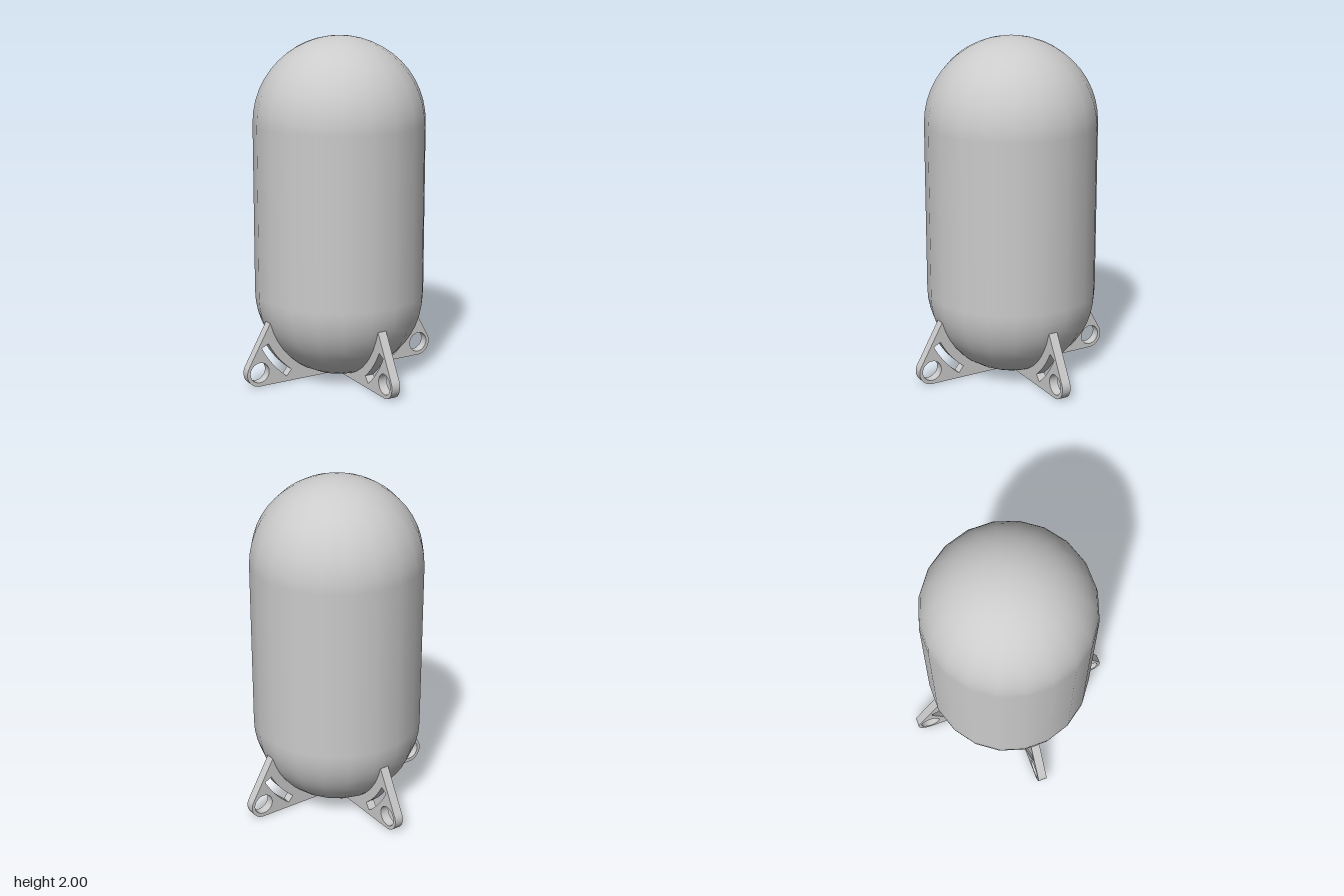
import * as THREE from 'three';

const R = 0.5; // tank radius
const THICK = 0.054; // fin thickness

// Fin outline in its own plane: x = distance from the axis, y = height
function finGeometry() {
  const tip = { x: 0.548, y: 0.08, r: 0.08 };
  const inner = 0.485; // inner arc lies just under the tank skin
  const topY = 0.37;
  const topAngle = Math.asin((topY - R) / inner);
  const edgeAngle = 0.47; // where the sloping edge meets the round tip

  const s = new THREE.Shape();
  s.moveTo(0, 0);
  s.lineTo(tip.x, 0);
  s.absarc(tip.x, tip.y, tip.r, -Math.PI / 2, edgeAngle, false);
  s.lineTo(0.478, topY);
  s.lineTo(inner * Math.cos(topAngle), topY);
  s.absarc(0, R, inner, topAngle, -Math.PI / 2, true);
  s.closePath();

  // Round bolt hole
  const hole = new THREE.Path();
  hole.absarc(tip.x, 0.083, 0.06, 0, Math.PI * 2, true);

  // Curved slot that follows the tank
  const slot = new THREE.Path();
  const a0 = -0.9, a1 = -0.47;
  slot.absarc(0, R, 0.55, a0, a1, false);
  slot.absarc(0, R, 0.598, a1, a0, true);
  slot.closePath();

  s.holes.push(hole, slot);
  const g = new THREE.ExtrudeGeometry(s, { depth: THICK, bevelEnabled: false, curveSegments: 20 });
  return g.translate(0, 0, -THICK / 2);
}

export function createModel() {
  const model = new THREE.Group();
  model.name = 'tankWithFins';
  const grey = new THREE.MeshStandardMaterial({ color: 0xcccccc });

  // Domed pressure tank
  const tank = new THREE.Mesh(new THREE.CapsuleGeometry(R, 1, 12, 20), grey);
  tank.name = 'tank';
  tank.position.y = 1;
  model.add(tank);

  // Four mounting fins on the diagonals
  const geometry = finGeometry();
  for (let i = 0; i < 4; i++) {
    const fin = new THREE.Mesh(geometry, grey);
    fin.name = `mountingFin${i + 1}`;
    fin.rotation.y = Math.PI / 4 + (i * Math.PI) / 2;
    model.add(fin);
  }
  return model;
}
